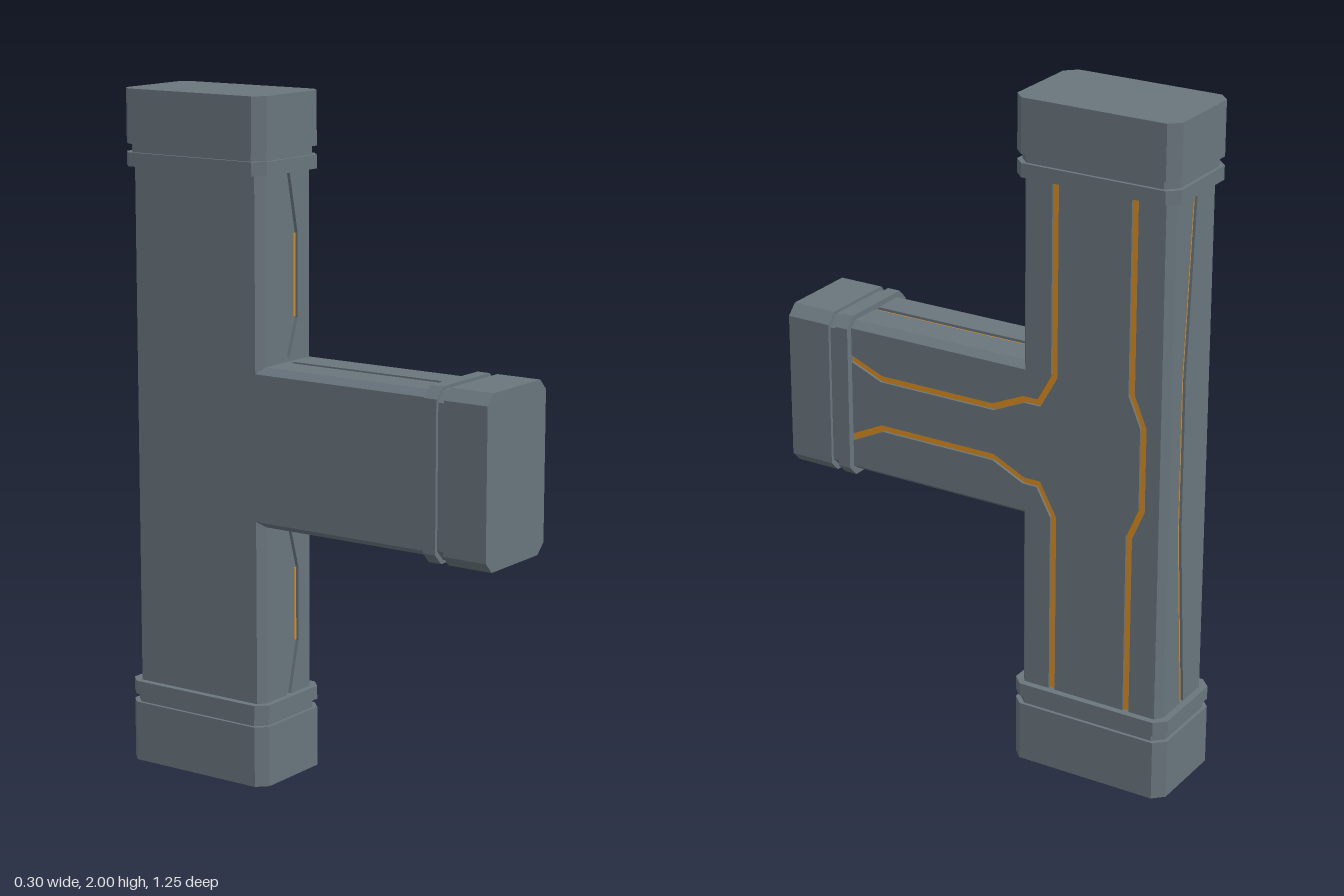
import * as THREE from 'three';

const V2 = (x, y) => new THREE.Vector2(x, y);
const V3 = (x, y, z) => new THREE.Vector3(x, y, z);

// Body limits: post back/front in z, arm bottom/top in y, side flats in x
const BACK = -0.605, FRONT = -0.143, ARM_LOW = 0.77, ARM_TOP = 1.235;
const POST_LOW = 0.15, POST_TOP = 1.85, ARM_END = 0.5;
const HALF = 0.13, FLAT = 0.105, EDGE = 0.018;
const DEPTH = 0.01, GROOVE = 0.02;

// T outline in (-z, y), counter-clockwise, shrunk by i
function tee(i) {
  const b = -BACK - i, f = -FRONT + i, a = -ARM_END + i;
  const lo = ARM_LOW + i, hi = ARM_TOP - i;
  return [
    V2(f, POST_LOW + i), V2(b, POST_LOW + i), V2(b, POST_TOP - i), V2(f, POST_TOP - i),
    V2(f, hi), V2(a, hi), V2(a, lo), V2(f, lo),
  ];
}

// Ribbon outline following a path with mitred corners
function ribbon(points, width) {
  const left = [], right = [];
  points.forEach((p, i) => {
    const d1 = p.clone().sub(points[i - 1] ?? p).normalize();
    const d2 = (points[i + 1] ?? p).clone().sub(p).normalize();
    const t = d1.clone().add(d2).normalize();
    const n = V2(-t.y, t.x);
    const d = d1.length() > 0.5 ? d1 : d2;
    n.multiplyScalar(width / 2 / n.dot(V2(-d.y, d.x)));
    left.push(p.clone().add(n));
    right.unshift(p.clone().sub(n));
  });
  return left.concat(right);
}

// Rectangle with cut corners
function cutRect(w, h, c) {
  const x = w / 2, y = h / 2;
  return new THREE.Shape([
    V2(-x + c, -y), V2(x - c, -y), V2(x, -y + c), V2(x, y - c),
    V2(x - c, y), V2(-x + c, y), V2(-x, y - c), V2(-x, -y + c),
  ]);
}

const rect = (x0, y0, x1, y1) => [V2(x0, y0), V2(x1, y0), V2(x1, y1), V2(x0, y1)];
const path = (...pairs) => pairs.map(([x, y]) => V2(x, y));

export function createModel() {
  const grey = new THREE.MeshStandardMaterial({ color: 0x69757d });
  grey.name = 'slate grey';
  const amber = new THREE.MeshStandardMaterial({ color: 0xd98a1e });
  amber.name = 'amber';

  const model = new THREE.Group();
  model.name = 'teeJunction';

  const add = (parent, name, geometry, material, z = 0) => {
    const mesh = new THREE.Mesh(geometry, material);
    mesh.name = name;
    mesh.position.z = z;
    parent.add(mesh);
    return mesh;
  };

  // Panel with recessed grooves; u and v span it, its outer face lies at offset
  function panel(name, u, v, offset, outline, grooves) {
    const n = u.clone().cross(v);
    const group = new THREE.Group();
    group.name = name;
    group.quaternion.setFromRotationMatrix(new THREE.Matrix4().makeBasis(u, v, n));
    group.position.copy(n).multiplyScalar(offset - DEPTH);
    const shape = new THREE.Shape(outline);
    for (const { points, lit } of grooves) {
      shape.holes.push(new THREE.Path(ribbon(points, GROOVE)));
      add(group, 'grooveFloor', new THREE.ShapeGeometry(new THREE.Shape(ribbon(points, GROOVE))), grey);
      const glow = lit ? points.slice(lit[0], lit[1]) : points;
      add(group, 'lightStrip', new THREE.ShapeGeometry(new THREE.Shape(ribbon(glow, GROOVE))), amber, 0.002);
    }
    add(group, 'panelPlate', new THREE.ExtrudeGeometry(shape, { depth: DEPTH, bevelEnabled: false }), grey);
    model.add(group);
  }

  // Grooved right-hand face: two curving into the arm, one along the back
  panel('groovedSide', V3(0, 0, -1), V3(0, 1, 0), HALF, tee(EDGE), [
    { points: path([-0.45, 1.115], [-0.425, 1.125], [-0.32, 1.082], [0.055, 1.082], [0.155, 1.127],
      [0.203, 1.127], [0.252, 1.215], [0.252, 1.8]) },
    { points: path([-0.45, 0.887], [-0.425, 0.877], [-0.32, 0.928], [0.055, 0.928], [0.155, 0.88],
      [0.203, 0.88], [0.252, 0.79], [0.252, 0.22]) },
    { points: path([0.495, 0.22], [0.495, 0.79], [0.533, 0.88], [0.533, 1.125], [0.495, 1.215], [0.495, 1.8]) },
  ]);

  // Post front above and below the arm, and post back
  const X = V3(1, 0, 0), Y = V3(0, 1, 0), Z = V3(0, 0, 1);
  panel('upperFront', X, Y, FRONT, rect(-FLAT, ARM_TOP, FLAT, POST_TOP), [
    { points: path([0, 1.25], [0.04, 1.36], [0.04, 1.6], [0, 1.79]), lit: [1, 3] },
  ]);
  panel('lowerFront', X, Y, FRONT, rect(-FLAT, POST_LOW, FLAT, ARM_LOW), [
    { points: path([0, 0.24], [0.04, 0.4], [0.04, 0.62], [0, 0.755]), lit: [1, 3] },
  ]);
  panel('postBack', X.clone().negate(), Y, -BACK, rect(-FLAT, POST_LOW, FLAT, POST_TOP), [
    { points: path([0, 0.23], [-0.04, 0.79], [-0.04, 1.25], [0, 1.8]) },
  ]);

  // Arm top and underside
  panel('armTop', X, Z.clone().negate(), ARM_TOP, rect(-FLAT, -ARM_END, FLAT, -FRONT), [
    { points: path([0, -0.44], [0, 0.13]) },
  ]);
  panel('armUnderside', X, Z, -ARM_LOW, rect(-FLAT, FRONT, FLAT, ARM_END), [
    { points: path([0, -0.13], [0, 0.44]) },
  ]);

  // Plain left-hand face
  const plain = add(model, 'plainSide',
    new THREE.ShapeGeometry(new THREE.Shape(tee(EDGE).map((p) => V2(-p.x, p.y)).reverse())), grey);
  plain.rotation.y = -Math.PI / 2;
  plain.position.x = -HALF;

  // Chamfers joining the side faces to the edge faces
  const inner = tee(EDGE), outer = tee(0), corners = [];
  for (const s of [1, -1]) {
    inner.forEach((_, i) => {
      const j = (i + 1) % inner.length;
      const a = V3(s * FLAT, outer[i].y, -outer[i].x), b = V3(s * FLAT, outer[j].y, -outer[j].x);
      const c = V3(s * HALF, inner[j].y, -inner[j].x), d = V3(s * HALF, inner[i].y, -inner[i].x);
      corners.push(...(s > 0 ? [a, b, c, a, c, d] : [a, c, b, a, d, c]));
    });
  }
  const chamfers = new THREE.BufferGeometry().setFromPoints(corners);
  chamfers.computeVertexNormals();
  add(model, 'bodyChamfers', chamfers, grey);

  // End fitting: cap, narrow neck and collar, built inward from the end
  function fitting(name, position, turn, height, capLength) {
    const group = new THREE.Group();
    group.name = name;
    group.position.copy(position);
    group.rotation.x = turn;
    let z = 0;
    for (const [part, length, inset] of [['cap', capLength, 0], ['neck', 0.025, 0.01], ['collar', 0.04, 0]]) {
      z -= length;
      add(group, part, new THREE.ExtrudeGeometry(
        cutRect(0.3 - 2 * inset, height - 2 * inset, 0.031), { depth: length, bevelEnabled: false }), grey, z);
    }
    model.add(group);
  }
  fitting('topFitting', V3(0, 2, -0.375), -Math.PI / 2, 0.5, 0.157);
  fitting('bottomFitting', V3(0, 0, -0.375), Math.PI / 2, 0.5, 0.18);
  fitting('armFitting', V3(0, 1.003, 0.625), 0, 0.495, 0.138);

  return model;
}
